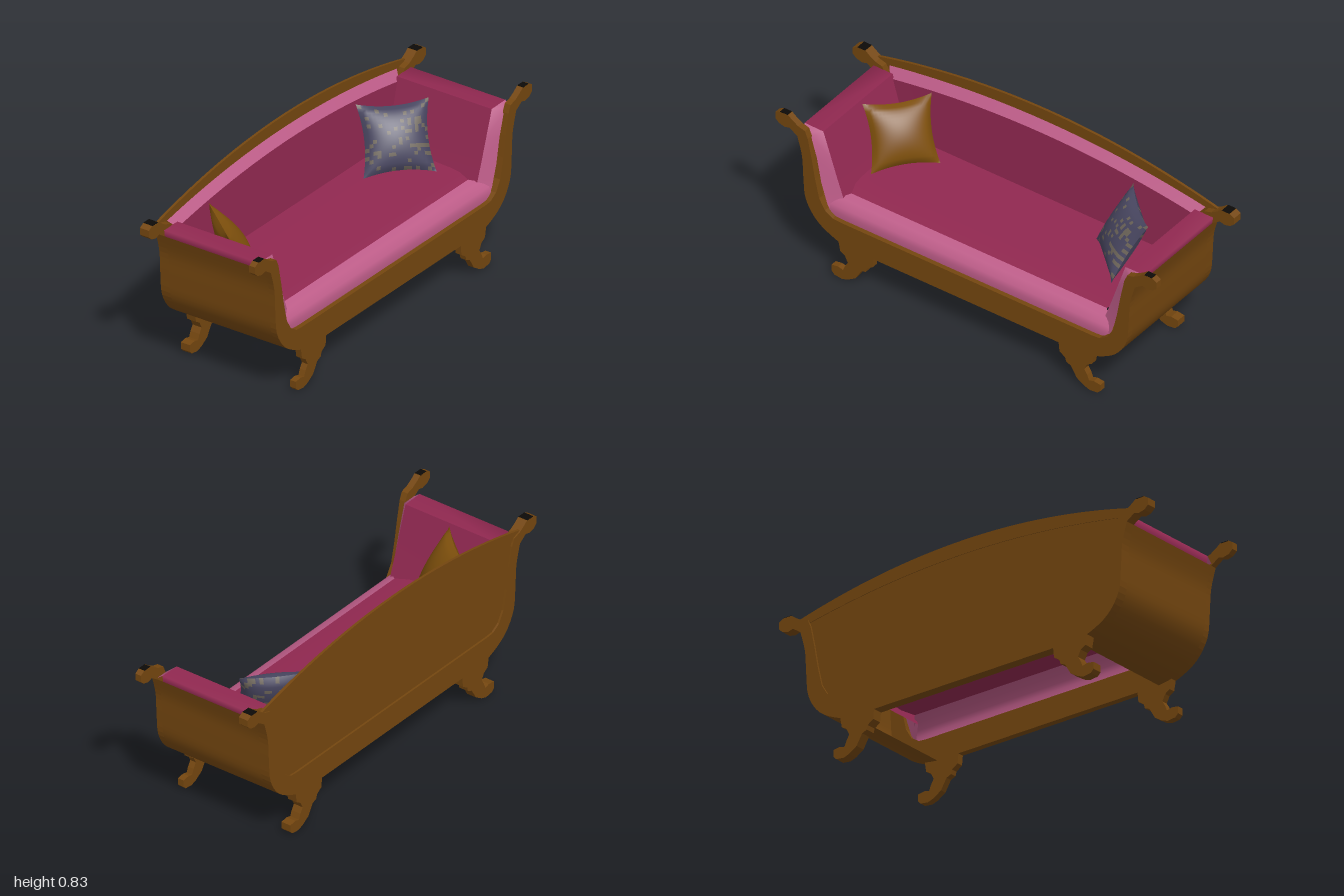
import * as THREE from 'three';
import { mergeGeometries } from 'three/addons/utils/BufferGeometryUtils.js';

const mat = (name, color) => new THREE.MeshStandardMaterial({ name, color, side: THREE.DoubleSide });

export function createModel() {
  const wood = mat('brown wood', 0x74460f);
  const crimson = mat('crimson fabric', 0x902850);
  const pink = mat('light pink trim', 0xbd5c88);
  const gold = mat('golden brown cloth', 0x7d4f0c);
  const slate = mat('slate cloth', 0x484660);
  const taupe = mat('taupe speckle', 0x6c6459);
  const black = mat('dark inlay', 0x0c0a08);

  const group = new THREE.Group();
  const add = (name, geo, material) => {
    const mesh = new THREE.Mesh(geo, material);
    mesh.name = name;
    group.add(mesh);
    return mesh;
  };
  const V2 = (p) => new THREE.Vector2(p[0], p[1]);
  const mirror = (pts) => pts.map(([x, y]) => [-x, y]).reverse();

  // flat outline extruded between two depths
  const slab = (pts, z0, z1) => {
    const geo = new THREE.ExtrudeGeometry(new THREE.Shape(pts.map(V2)), { depth: z1 - z0, bevelEnabled: false });
    return geo.translate(0, 0, z0);
  };

  // smooth surface through equal rows of points
  const sheet = (rows) => {
    const n = rows[0].length, index = [];
    for (let r = 0; r < rows.length - 1; r++) {
      for (let c = 0; c < n - 1; c++) {
        const a = r * n + c, b = a + n;
        index.push(a, b, a + 1, b, b + 1, a + 1);
      }
    }
    const geo = new THREE.BufferGeometry();
    geo.setAttribute('position', new THREE.Float32BufferAttribute(rows.flat(2), 3));
    geo.setIndex(index);
    geo.computeVertexNormals();
    return geo;
  };

  // curved outer line of the arms
  const outer = new THREE.SplineCurve(
    [[0.6, 0.18], [0.68, 0.195], [0.78, 0.25], [0.84, 0.34], [0.853, 0.45], [0.86, 0.56], [0.885, 0.655]].map(V2)
  ).getPoints(24).map((p) => [p.x, p.y]);
  const scroll = [[0.925, 0.682], [0.95, 0.675], [0.98, 0.682], [1, 0.7], [1, 0.732], [0.978, 0.745],
    [0.932, 0.745], [0.91, 0.728], [0.88, 0.71], [0.845, 0.7]];
  const inner = [[0.83, 0.665], [0.81, 0.57], [0.792, 0.47], [0.77, 0.375], [0.74, 0.325], [0.7, 0.3], [0.66, 0.297]];
  const half = [...outer, ...scroll, ...inner];
  const frame = [...half, ...mirror(half)];
  const leg = [[0.485, 0.185], [0.49, 0.135], [0.52, 0.115], [0.525, 0.095], [0.55, 0.085], [0.565, 0.06],
    [0.58, 0.035], [0.62, 0.01], [0.65, 0], [0.69, 0.005], [0.705, 0.02], [0.705, 0.052], [0.67, 0.057],
    [0.645, 0.05], [0.635, 0.075], [0.62, 0.1], [0.635, 0.13], [0.66, 0.145], [0.67, 0.2]];

  // front and back frames, legs and dark inlays
  for (const [side, z0, z1] of [['front', 0.27, 0.3], ['back', -0.3, -0.253]]) {
    add(side + 'Frame', slab(frame, z0, z1), wood);
    for (const s of [1, -1]) {
      add(side + 'Leg', slab(s > 0 ? leg : mirror(leg), z0, z1), wood);
      const cap = add(side + 'ScrollInlay', new THREE.BoxGeometry(0.04, 0.003, z1 - z0), black);
      cap.position.set(s * 0.955, 0.745, (z0 + z1) / 2);
    }
  }

  // arched crown and back panel
  const top = (x) => 0.83 - 0.118 * (x / 0.91) ** 2;
  const padTop = (x) => 0.775 - 0.075 * (x / 0.82) ** 2;
  const xs = Array.from({ length: 33 }, (_, i) => -0.91 + (1.82 * i) / 32);
  const arch = xs.map((x) => [x, top(x)]);
  const archLow = xs.map((x) => [x, Math.min(padTop(x) - 0.01, top(x) - 0.012)]).reverse();
  add('crownRail', slab([...arch, ...archLow], -0.294, -0.282), wood);
  const panelSide = [[0.65, 0.25], [0.78, 0.3], [0.82, 0.4], [0.83, 0.55], [0.85, 0.69]];
  add('backPanel', slab([...panelSide, ...archLow.filter((p) => Math.abs(p[0]) < 0.84), ...mirror(panelSide)], -0.291, -0.284), wood);

  // curved side panels
  for (const s of [1, -1]) {
    add('sidePanel', sheet([0.27, -0.253].map((z) => outer.map(([x, y]) => [s * x, y, z]))), wood);
  }

  // seat: rolled front edge and gently sloping top
  const across = (w, y, z) => Array.from({ length: 13 }, (_, i) => [w * (i / 6 - 1), y, z]);
  add('seatFront', sheet([across(0.7, 0.295, 0.278), across(0.732, 0.325, 0.28), across(0.73, 0.35, 0.272),
    across(0.705, 0.375, 0.245), across(0.67, 0.388, 0.205)]), pink);
  add('seatTop', sheet([across(0.67, 0.388, 0.205), across(0.71, 0.4, 0.1), across(0.72, 0.413, -0.25)]), crimson);

  // padded arms with a slanted front edge
  const rim = [[0.72, 0.3], [0.745, 0.34], [0.777, 0.44], [0.8, 0.56], [0.83, 0.66], [0.885, 0.66]];
  const pad = [[0.68, 0.36], [0.695, 0.4], [0.72, 0.47], [0.75, 0.56], [0.792, 0.685], [0.89, 0.687]];
  for (const s of [1, -1]) {
    const row = (pts, z) => pts.map(([x, y]) => [s * x, y, z]);
    add('armFront', sheet([row(rim, 0.275), row(pad, 0.24)]), pink);
    // inner face and top are kept apart for a crisp edge
    add('armInside', sheet([row(pad.slice(0, 5), 0.24), row(pad.slice(0, 5), -0.255)]), crimson);
    const lid = [...pad.slice(4), [0.885, 0.655]];
    add('armTop', sheet([row(lid, 0.24), row(lid, -0.255)]), crimson);
  }

  // padded back with a slanted upper edge
  const backRow = (w, drop, z) => Array.from({ length: 25 }, (_, i) => {
    const x = w * (i / 12 - 1);
    return [x, padTop(x) - drop, z];
  });
  const padEdge = backRow(0.8, 0.042, -0.248);
  add('backTrim', sheet([backRow(0.83, 0, -0.283), padEdge]), pink);
  add('backPad', sheet([padEdge, padEdge.map(([x]) => [x * 0.9, 0.4, -0.235])]), crimson);

  // pillow: two puffed faces with pinched corners
  const pillow = (name, size, centre, u, v, speckled) => {
    const N = 18;
    const faces = [1, -1].map((s) => {
      const geo = new THREE.PlaneGeometry(2, 2, N, N);
      const p = geo.attributes.position;
      for (let i = 0; i < p.count; i++) {
        const a = p.getX(i), b = p.getY(i);
        const puff = Math.pow(Math.max(0, (1 - a * a) * (1 - b * b)), 0.55);
        p.setXYZ(i, s * a * size * (1 - 0.13 * (1 - b * b)), b * size * (1 - 0.13 * (1 - a * a)), s * 0.058 * puff);
      }
      geo.computeVertexNormals();
      return geo;
    });
    const geo = mergeGeometries(faces);
    let material = gold;
    if (speckled) {
      // scattered cells take the second colour
      const cells = [[], []], idx = geo.index.array;
      let seed = 7;
      for (let i = 0; i < idx.length; i += 6) {
        seed = (seed * 16807) % 2147483647;
        cells[seed / 2147483647 < 0.2 ? 1 : 0].push(...idx.slice(i, i + 6));
      }
      geo.setIndex([...cells[0], ...cells[1]]);
      geo.addGroup(0, cells[0].length, 0);
      geo.addGroup(cells[0].length, cells[1].length, 1);
      material = [slate, taupe];
    }
    const U = new THREE.Vector3(...u).normalize();
    const W = U.clone().cross(new THREE.Vector3(...v)).normalize();
    const m = new THREE.Matrix4().makeBasis(U, W.clone().cross(U), W).setPosition(...centre);
    add(name, geo.applyMatrix4(m), material);
  };
  pillow('rightPillow', 0.152, [-0.62, 0.552, -0.083], [0.63, 0, -0.78], [-0.12, 0.265, -0.08], false);
  pillow('leftPillow', 0.158, [0.542, 0.555, -0.078], [0.74, 0, 0.67], [0.11, 0.265, -0.11], true);

  return group;
}
